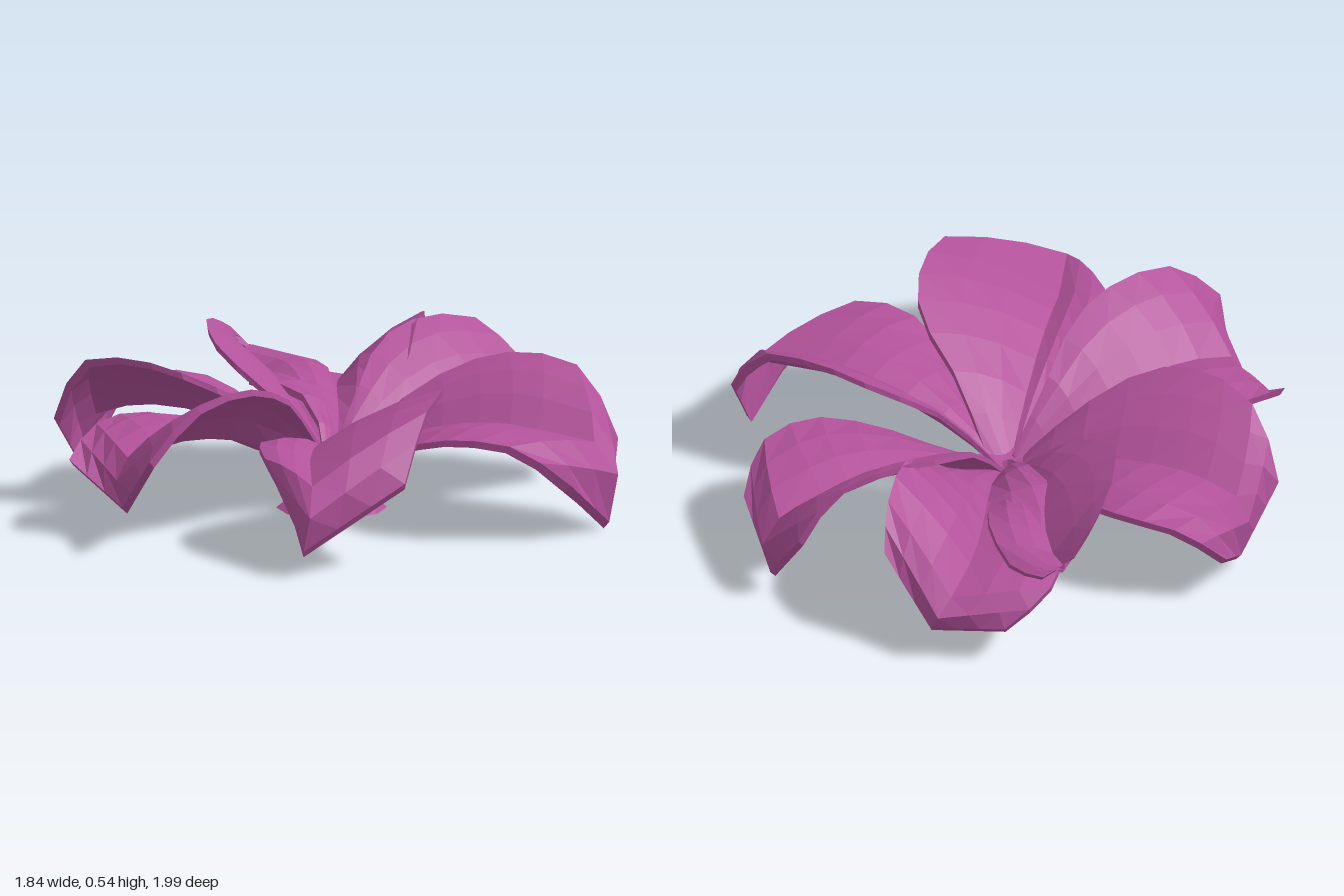
import * as THREE from 'three';

const material = new THREE.MeshStandardMaterial({ color: 0xb2529a, flatShading: true, side: THREE.DoubleSide });
const COLS = 6, ROWS = 9;

// Petal guide lines in [side, height, reach]; the last point is set per petal.
const RAISED = [[0.03, 0.17, 0.03], [0.1, 0.36, 0.2], [0.23, 0.49, 0.4], [0.28, 0.54, 0.6], [0.3, 0.5, 0.83]];
const MIDDLE = [[0.15, 0.04], [0.24, 0.2], [0.31, 0.4], [0.34, 0.6], [0.33, 0.75]];
const LOWER = [[-0.04, 0.15, 0.03], [-0.13, 0.22, 0.2], [-0.25, 0.31, 0.4], [-0.32, 0.36, 0.6], [-0.3, 0.34, 0.8]];

function guide(points) {
  const curve = new THREE.CatmullRomCurve3(points.map((p) => new THREE.Vector3(...p)));
  return Array.from({ length: ROWS + 1 }, (_, i) => curve.getPoint(i / ROWS));
}

// A closed thin shell: raised edge, creased middle and tucked-under lower edge.
// bow swells the raised edge midway, taper draws it sideways towards the end.
function petalGeometry({ bow = 0, taper = 0, lowWidth = 1, endHeight = 0.3, reach, tip, roll = 0 }) {
  const high = [...RAISED, [0.27, endHeight, reach + 0.01]].map(([x, y, u]) =>
    [x + bow * Math.sin(Math.PI * Math.min(1, u + 0.1)) + taper * u * u, y, u]);
  const low = [...LOWER, [-0.21, endHeight - 0.08, reach - 0.01]].map(([x, y, u]) => [x * lowWidth, y, u]);
  const mid = MIDDLE.map(([y, u]) => [tip[0] * u, y, u]);
  mid.push([tip[0] * 0.8, Math.max(0.26, tip[1]), tip[2] + 0.02], tip);
  const [highLine, midLine, lowLine] = [high, mid, low].map(guide);
  const top = [], bottom = [];
  for (let i = 0; i <= ROWS; i++) {
    const t = i / ROWS, row = [], under = [];
    for (let j = 0; j <= COLS; j++) {
      const s = (j / COLS) * 2 - 1, a = Math.abs(s);
      const p = midLine[i].clone().lerp(s > 0 ? highLine[i] : lowLine[i], a);
      const bulge = 4 * a * (1 - a) * Math.sin(Math.PI * Math.min(1, t + 0.05));
      p.y += 0.03 * bulge;
      p.z += 0.03 * bulge * t;
      // Roll about the long axis, growing from the base outwards
      const angle = roll * Math.min(1, t * 2), x = p.x, y = p.y - 0.3;
      p.x = x * Math.cos(angle) - y * Math.sin(angle);
      p.y = 0.3 + x * Math.sin(angle) + y * Math.cos(angle);
      row.push(p);
      under.push(new THREE.Vector3(p.x, p.y - 0.024, p.z - 0.02 * t));
    }
    top.push(row);
    bottom.push(under);
  }
  const pos = [];
  const quad = (a, b, c, d) => [a, b, c, a, c, d].forEach((p) => pos.push(p.x, p.y, p.z));
  for (let i = 0; i < ROWS; i++) {
    for (let j = 0; j < COLS; j++) {
      quad(top[i][j], top[i + 1][j], top[i + 1][j + 1], top[i][j + 1]);
      quad(bottom[i][j], bottom[i][j + 1], bottom[i + 1][j + 1], bottom[i + 1][j]);
    }
  }
  // Rim joining both skins
  const rim = [];
  for (let i = 0; i < ROWS; i++) rim.push([i, 0]);
  for (let j = 0; j < COLS; j++) rim.push([ROWS, j]);
  for (let i = ROWS; i > 0; i--) rim.push([i, COLS]);
  for (let j = COLS; j > 0; j--) rim.push([0, j]);
  rim.forEach(([i, j], k) => {
    const [m, n] = rim[(k + 1) % rim.length];
    quad(top[i][j], bottom[i][j], bottom[m][n], top[m][n]);
  });
  const geometry = new THREE.BufferGeometry();
  geometry.setAttribute('position', new THREE.Float32BufferAttribute(pos, 3));
  geometry.computeVertexNormals();
  return geometry;
}

// Each petal: heading in degrees, how its edges differ, and its [side, height, reach] tip.
const PETALS = [
  { heading: 0, reach: 0.98, endHeight: 0.34, tip: [0, 0.12, 0.9] },
  { heading: 55, bow: 0.12, taper: -0.06, lowWidth: 0.85, reach: 0.98, tip: [-0.14, 0.09, 1.1] },
  { heading: 123, taper: -0.1, lowWidth: 1.2, reach: 0.97, endHeight: 0.28, tip: [0, 0.024, 1.01] },
  { heading: 180, bow: 0.03, taper: -0.09, lowWidth: 1.05, reach: 0.93, tip: [0.05, 0.09, 0.97] },
  { heading: 225, reach: 0.91, endHeight: 0.33, tip: [0.08, 0.16, 0.95], roll: -0.65 },
  { heading: 258, bow: 0.06, taper: -0.38, lowWidth: 0.8, reach: 0.92, endHeight: 0.44, tip: [-0.11, 0.38, 0.9] },
  { heading: 305, bow: 0.09, taper: -0.13, lowWidth: 1.08, reach: 0.94, endHeight: 0.28, tip: [0, 0.05, 0.88] },
];

export function createModel() {
  const flower = new THREE.Group();
  flower.name = 'flower';

  PETALS.forEach((spec, i) => {
    const petal = new THREE.Mesh(petalGeometry(spec), material);
    petal.name = `petal${i + 1}`;
    petal.rotation.y = THREE.MathUtils.degToRad(spec.heading);
    flower.add(petal);
  });

  // Flared hollow foot with a small hole through the centre
  const profile = [[0.025, 0.13], [0.08, 0.1], [0.18, 0], [0.19, 0], [0.135, 0.045], [0.1, 0.11], [0.11, 0.18], [0.025, 0.16], [0.025, 0.13]];
  const foot = new THREE.Mesh(new THREE.LatheGeometry(profile.map(([r, y]) => new THREE.Vector2(r, y)), 10), material);
  foot.name = 'foot';
  flower.add(foot);
  return flower;
}
